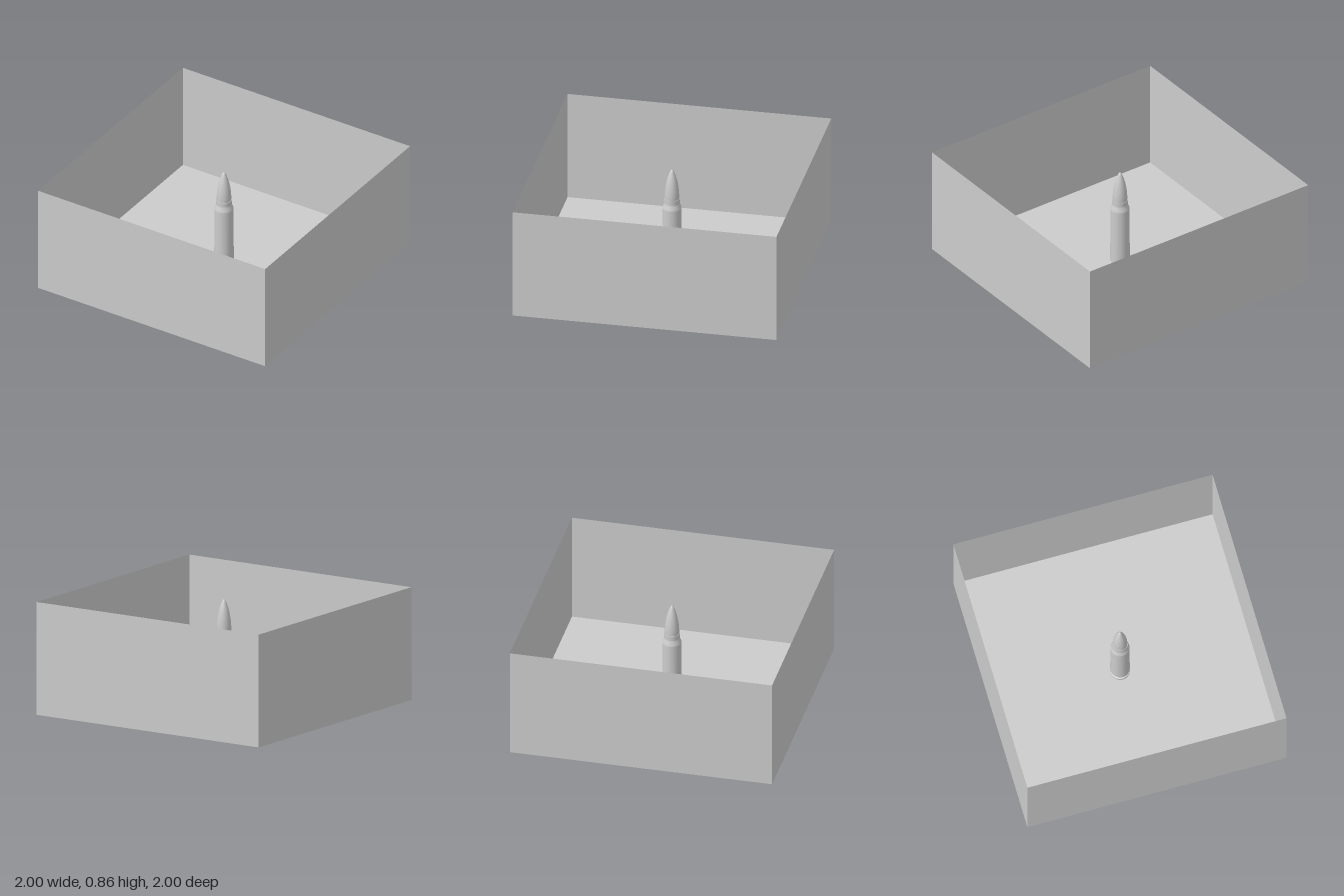
import * as THREE from 'three';

const H = 0.857; // wall height

export function createModel() {
  const model = new THREE.Group();
  const grey = new THREE.MeshStandardMaterial({ color: 0xcccccc, side: THREE.DoubleSide });

  // Open tray: a floor and four thin walls
  const tray = new THREE.Group();
  tray.name = 'tray';
  const floor = new THREE.Mesh(new THREE.PlaneGeometry(2, 2), grey);
  floor.name = 'floor';
  floor.rotation.x = Math.PI / 2;
  tray.add(floor);
  ['frontWall', 'leftWall', 'backWall', 'rightWall'].forEach((name, i) => {
    const a = i * Math.PI / 2;
    const wall = new THREE.Mesh(new THREE.PlaneGeometry(2, H), grey);
    wall.name = name;
    wall.position.set(Math.sin(a), H / 2, Math.cos(a));
    wall.rotation.y = a;
    tray.add(wall);
  });
  model.add(tray);

  // Cartridge standing in the middle, one turned piece per crease
  const cartridge = new THREE.Group();
  cartridge.name = 'cartridge';
  const turn = (name, points) => {
    const profile = points.map(([r, y]) => new THREE.Vector2(r, y));
    const mesh = new THREE.Mesh(new THREE.LatheGeometry(profile, 40), grey);
    mesh.name = name;
    cartridge.add(mesh);
  };
  turn('rim', [[0.073, 0], [0.073, 0.022]]);
  turn('rimTop', [[0.073, 0.022], [0.062, 0.026]]);
  turn('extractorGroove', [[0.062, 0.026], [0.062, 0.04]]);
  turn('grooveBevel', [[0.062, 0.04], [0.073, 0.055]]);
  turn('caseBody', [[0.073, 0.055], [0.071, 0.505]]);
  turn('shoulder', [[0.071, 0.505], [0.069, 0.518], [0.06, 0.538], [0.058, 0.55]]);
  turn('neck', [[0.058, 0.55], [0.058, 0.585]]);
  turn('neckMouth', [[0.058, 0.585], [0.054, 0.585]]);
  // Bullet with a curved nose
  const nose = new THREE.SplineCurve([
    [0.054, 0.585], [0.054, 0.62], [0.049, 0.675], [0.038, 0.735],
    [0.023, 0.785], [0.01, 0.815], [0, 0.822],
  ].map(([r, y]) => new THREE.Vector2(r, y)));
  turn('bullet', nose.getPoints(24).map((p) => [Math.max(p.x, 0), p.y]));
  model.add(cartridge);

  return model;
}
